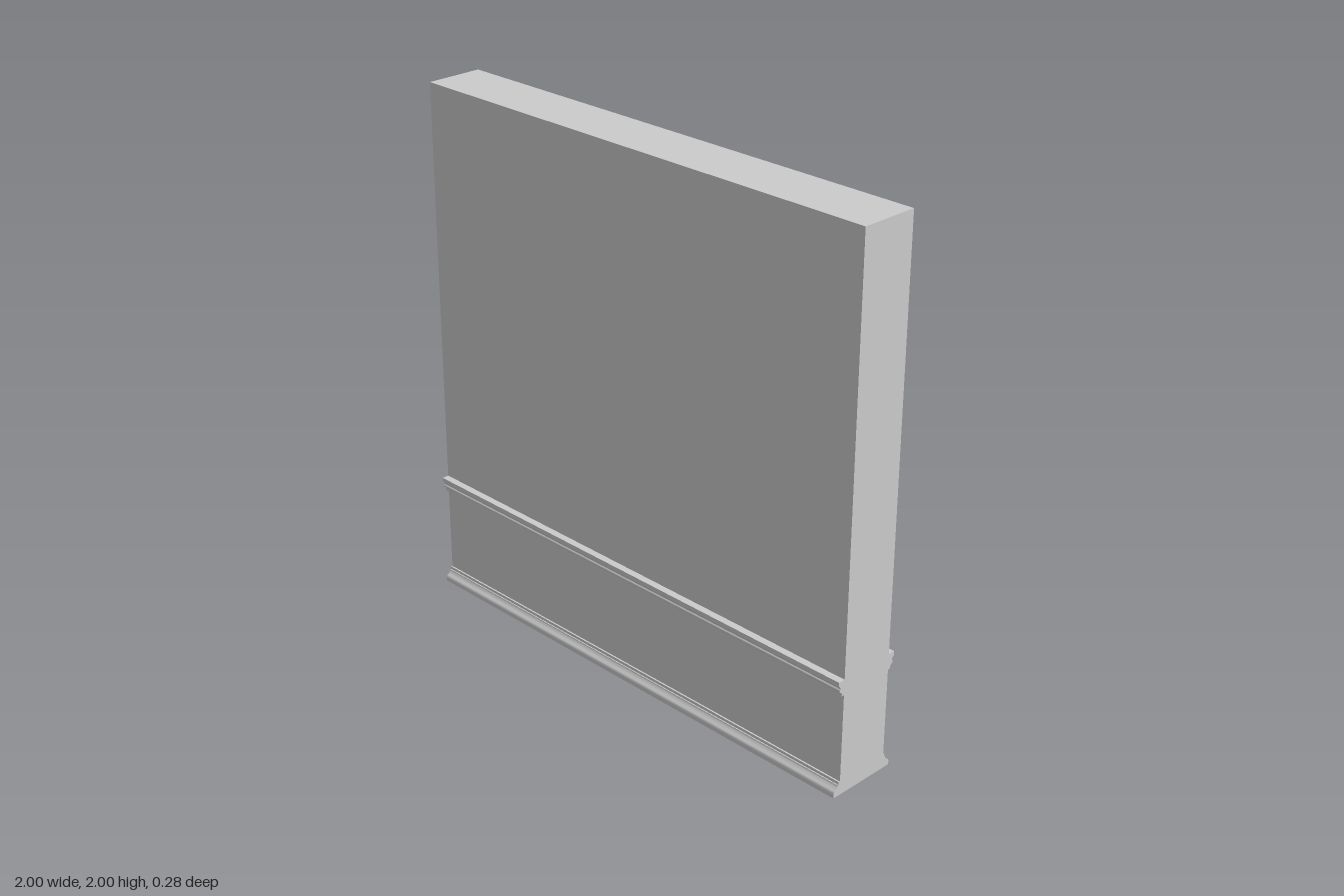
import * as THREE from 'three';
import { toCreasedNormals } from 'three/addons/utils/BufferGeometryUtils.js';

const LENGTH = 2, HEIGHT = 2, HALF = 0.11;
const material = new THREE.MeshStandardMaterial({ color: 0xcccccc });

// Runs a (z, y) section along the whole length of the wall
function runMoulding(shape, name) {
  const geometry = new THREE.ExtrudeGeometry(shape, { depth: LENGTH, bevelEnabled: false, curveSegments: 6 });
  geometry.translate(0, 0, -LENGTH / 2);
  geometry.rotateY(-Math.PI / 2);
  const mesh = new THREE.Mesh(toCreasedNormals(geometry, 0.6), material);
  mesh.name = name;
  return mesh;
}

// Skirting: short plinth, rounded shoulder and a small top fillet
function skirtingShape() {
  const s = new THREE.Shape();
  s.moveTo(HALF, 0);
  s.lineTo(0.14, 0);
  s.lineTo(0.14, 0.014);
  s.bezierCurveTo(0.14, 0.028, 0.122, 0.026, 0.12, 0.042);
  s.lineTo(0.116, 0.042);
  s.lineTo(0.116, 0.053);
  s.lineTo(HALF, 0.053);
  s.closePath();
  return s;
}

// Rail: bottom fillet, lower bead, recess and a projecting top lip
function railShape() {
  const s = new THREE.Shape();
  s.moveTo(HALF, 0.39);
  s.lineTo(0.121, 0.39);
  s.lineTo(0.121, 0.402);
  s.lineTo(0.126, 0.405);
  s.quadraticCurveTo(0.136, 0.411, 0.13, 0.418);
  s.lineTo(0.128, 0.42);
  s.quadraticCurveTo(0.129, 0.43, 0.137, 0.433);
  s.lineTo(0.137, 0.449);
  s.lineTo(HALF, 0.449);
  s.closePath();
  return s;
}

export function createModel() {
  const model = new THREE.Group();
  model.name = 'wallPanel';

  const wall = new THREE.Mesh(new THREE.BoxGeometry(LENGTH, HEIGHT, HALF * 2), material);
  wall.name = 'wall';
  wall.position.y = HEIGHT / 2;
  model.add(wall);

  // The same mouldings on both faces
  for (const side of ['front', 'back']) {
    const trim = new THREE.Group();
    trim.name = side + 'Trim';
    trim.add(runMoulding(skirtingShape(), side + 'Skirting'));
    trim.add(runMoulding(railShape(), side + 'Rail'));
    if (side === 'back') trim.rotation.y = Math.PI;
    model.add(trim);
  }
  return model;
}
